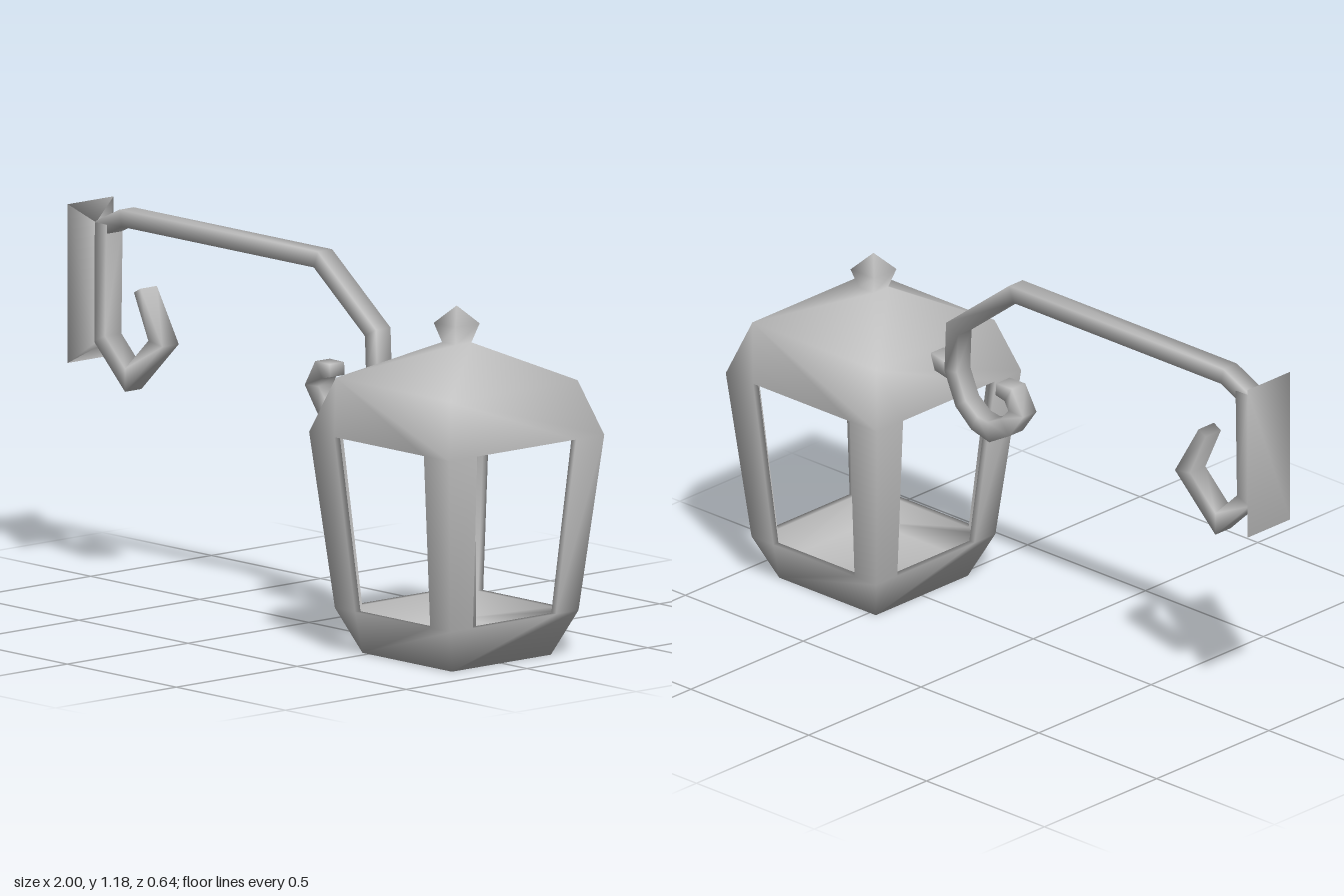
import * as THREE from 'three';
import { mergeVertices } from 'three/addons/utils/BufferGeometryUtils.js';

// Smooth-shaded mesh from a list of polygons (each a fan of [x, y, z] corners)
function solid(name, polygons, material) {
  const pos = [];
  for (const p of polygons) {
    for (let i = 1; i < p.length - 1; i++) pos.push(...p[0], ...p[i], ...p[i + 1]);
  }
  let geo = new THREE.BufferGeometry();
  geo.setAttribute('position', new THREE.Float32BufferAttribute(pos, 3));
  geo = mergeVertices(geo, 1e-4);
  geo.computeVertexNormals();
  const mesh = new THREE.Mesh(geo, material);
  mesh.name = name;
  return mesh;
}

// Polygons joining successive four-cornered rings
function loft(rings, capStart = true, capEnd = true) {
  const faces = [];
  for (let r = 0; r < rings.length - 1; r++) {
    const a = rings[r], b = rings[r + 1];
    for (let i = 0; i < 4; i++) {
      const j = (i + 1) % 4;
      faces.push([a[i], a[j], b[j], b[i]]);
    }
  }
  if (capStart) faces.push([...rings[0]].reverse());
  if (capEnd) faces.push(rings[rings.length - 1]);
  return faces;
}

// Horizontal square ring of half width h
const square = (h, y) => [[-h, y, h], [h, y, h], [h, y, -h], [-h, y, -h]];

// Square bar swept along a path in the x-y plane, with mitred bends;
// a third value on a path point overrides the half thickness there
function bar(path, half = 0.025, halfZ = 0.03) {
  const pts = path.map(([x, y]) => new THREE.Vector2(x, y));
  const last = pts.length - 1;
  const rings = pts.map((p, i) => {
    const before = pts[i].clone().sub(pts[Math.max(i - 1, 0)]).normalize();
    const after = pts[Math.min(i + 1, last)].clone().sub(pts[i]).normalize();
    const d = before.clone().add(after).normalize();
    const miter = (path[i][2] ?? half) / Math.max(0.6, d.dot(i < last ? after : before));
    const nx = -d.y * miter, ny = d.x * miter;
    return [
      [p.x + nx, p.y + ny, halfZ], [p.x - nx, p.y - ny, halfZ],
      [p.x - nx, p.y - ny, -halfZ], [p.x + nx, p.y + ny, -halfZ],
    ];
  });
  return loft(rings);
}

// Hollow lantern housing: base, thin corner posts, floor, ceiling, roof with finial
function housingFaces() {
  const base = 0.205, eave = 0.263, yEave = 0.86;
  const y0 = 0.14, o0 = 0.265, w0 = 0.172;  // window sill: outer and opening half widths
  const y1 = 0.69, o1 = 0.321, w1 = 0.205;  // window head
  const wall = 0.022, i0 = o0 - wall, i1 = o1 - wall;
  const yFloor = 0.055, floor = 0.205;
  const side = [
    // base slope
    [[-base, 0, base], [base, 0, base], [o0, y0, o0], [w0, y0, o0], [-w0, y0, o0], [-o0, y0, o0]],
    // post fronts
    [[-o0, y0, o0], [-w0, y0, o0], [-w1, y1, o1], [-o1, y1, o1]],
    [[w0, y0, o0], [o0, y0, o0], [o1, y1, o1], [w1, y1, o1]],
    // post backs
    [[-w0, y0, i0], [-i0, y0, i0], [-i1, y1, i1], [-w1, y1, i1]],
    [[i0, y0, i0], [w0, y0, i0], [w1, y1, i1], [i1, y1, i1]],
    // post reveals
    [[w0, y0, i0], [w0, y0, o0], [w1, y1, o1], [w1, y1, i1]],
    [[-w0, y0, o0], [-w0, y0, i0], [-w1, y1, i1], [-w1, y1, o1]],
    // sill and head
    [[-w0, y0, o0], [w0, y0, o0], [w0, y0, i0], [-w0, y0, i0]],
    [[-w1, y1, i1], [w1, y1, i1], [w1, y1, o1], [-w1, y1, o1]],
    // inside of the base
    [[floor, yFloor, floor], [-floor, yFloor, floor], [-i0, y0, i0], [-w0, y0, i0], [w0, y0, i0], [i0, y0, i0]],
    // lower roof
    [[-eave, yEave, eave], [-o1, y1, o1], [-w1, y1, o1], [w1, y1, o1], [o1, y1, o1], [eave, yEave, eave]],
  ];
  const faces = [];
  for (let k = 0; k < 4; k++) {
    for (const poly of side) {
      faces.push(poly.map(([x, y, z]) => {
        for (let t = 0; t < k; t++) [x, z] = [z, -x];
        return [x, y, z];
      }));
    }
  }
  // underside, floor and ceiling
  faces.push(square(base, 0).reverse(), square(floor, yFloor), square(i1, y1).reverse());
  // upper roof and finial
  faces.push(...loft([
    square(eave, yEave), square(0.032, 0.975), square(0.05, 1.035), square(0, 1.09),
  ], false, false));
  return faces;
}

export function createModel() {
  const metal = new THREE.MeshStandardMaterial({ color: 0xc0c0c0 });
  metal.name = 'grey metal';
  const model = new THREE.Group();
  model.name = 'wallLantern';

  // Lantern
  const lantern = new THREE.Group();
  lantern.name = 'lantern';
  lantern.position.x = 0.678;
  lantern.add(solid('housing', housingFaces(), metal));
  lantern.add(solid('candle', loft([
    square(0.042, 0.055), square(0.042, 0.35), square(0.027, 0.367),
    square(0.037, 0.43), square(0, 0.49),
  ], true, false), metal));
  model.add(lantern);

  // Wall plate, tapering away from the wall
  const plateRing = (x, bottom, top, z) =>
    [[x, top, z], [x, bottom, z], [x, bottom, -z], [x, top, -z]];
  model.add(solid('wallPlate', loft([
    plateRing(-1, 0.68, 1.177, 0.095), plateRing(-0.942, 0.745, 1.12, 0.03),
  ]), metal));

  // Upright with the lower scroll, thinning to its tip
  model.add(solid('uprightScroll', bar([
    [-0.917, 1.12], [-0.923, 0.76], [-0.805, 0.646], [-0.666, 0.78], [-0.749, 0.935, 0.017],
  ], 0.026, 0.034), metal));

  // Arm with the hanging scroll
  model.add(solid('arm', bar([
    [-0.935, 1.1], [-0.83, 1.149], [0.065, 1.149], [0.316, 0.955], [0.322, 0.81],
    [0.28, 0.715], [0.222, 0.668, 0.028], [0.163, 0.655, 0.031], [0.092, 0.692, 0.029],
    [0.046, 0.752], [0.078, 0.806], [0.13, 0.81, 0.02],
  ], 0.026), metal));

  // Short link from the arm to the lantern
  model.add(solid('lanternLink', bar([[0.335, 0.806], [0.412, 0.822]], 0.025, 0.028), metal));

  return model;
}
